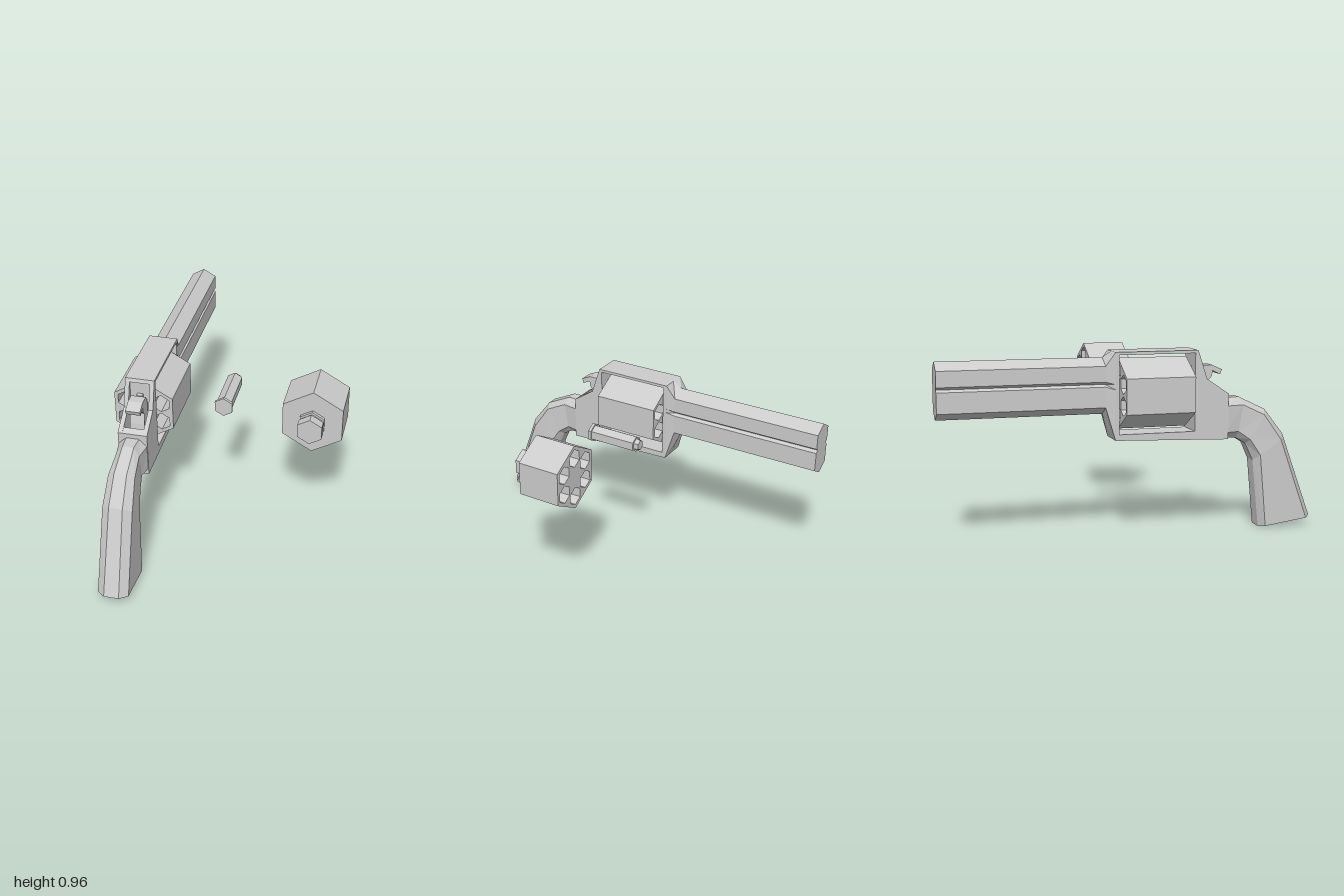
import * as THREE from 'three';

const mat = new THREE.MeshStandardMaterial({ color: 0xcccccc, flatShading: true, side: THREE.DoubleSide });
const AXIS_Y = 0.742;

function add(parent, name, geometry) {
  const mesh = new THREE.Mesh(geometry, mat);
  mesh.name = name;
  parent.add(mesh);
  return mesh;
}

// Side outline given as [z, y], extruded across x and centred on cx
function sideExtrude(outline, width, cx = 0, hole = null) {
  const shape = new THREE.Shape(outline.map(p => new THREE.Vector2(...p)));
  if (hole) shape.holes.push(new THREE.Path(hole.map(p => new THREE.Vector2(...p))));
  const g = new THREE.ExtrudeGeometry(shape, { depth: width, bevelEnabled: false });
  return g.translate(0, 0, -width / 2).rotateY(-Math.PI / 2).translate(cx, 0, 0);
}

// Closed skin over rings of equal point count, with fan caps, faces turned outward
function loft(rings) {
  const tris = [];
  const n = rings[0].length;
  for (let r = 0; r < rings.length - 1; r++) {
    for (let i = 0; i < n; i++) {
      const j = (i + 1) % n, a = rings[r], b = rings[r + 1];
      tris.push([a[i], a[j], b[j]], [a[i], b[j], b[i]]);
    }
  }
  const centre = ring => ring.reduce((s, p) => s.add(p), new THREE.Vector3()).divideScalar(n);
  const first = rings[0], last = rings[rings.length - 1];
  const c0 = centre(first), c1 = centre(last);
  for (let i = 0; i < n; i++) {
    const j = (i + 1) % n;
    tris.push([c0, first[j], first[i]], [c1, last[i], last[j]]);
  }
  let volume = 0;
  for (const [a, b, c] of tris) volume += a.dot(b.clone().cross(c));
  if (volume < 0) tris.forEach(t => t.reverse());
  const g = new THREE.BufferGeometry().setFromPoints(tris.flat());
  g.computeVertexNormals();
  return g;
}

// Half profile [x, y] from top to bottom, mirrored into a full ring at z
function mirroredRing(half, z) {
  const right = half.map(([x, y]) => new THREE.Vector3(x, y, z));
  const left = half.slice(1, -1).reverse().map(([x, y]) => new THREE.Vector3(-x, y, z));
  return [...right, ...left];
}

// Upright hexagonal prism along z
function hexPrism(radius, z0, z1, frontRadius = radius) {
  const g = new THREE.CylinderGeometry(frontRadius, radius, z1 - z0, 6);
  return g.rotateX(Math.PI / 2).translate(0, AXIS_Y, (z0 + z1) / 2);
}

function hexPoints(radius, cx, cy) {
  return Array.from({ length: 6 }, (_, i) => {
    const a = Math.PI / 6 + i * Math.PI / 3;
    return new THREE.Vector2(cx + radius * Math.cos(a), cy + radius * Math.sin(a));
  });
}

// Hexagonal drum with six hexagonal chambers
function drum(z0, z1) {
  const shape = new THREE.Shape(hexPoints(0.182, 0, 0));
  for (const p of hexPoints(0.11, 0, 0)) {
    shape.holes.push(new THREE.Path(hexPoints(0.05, p.x, p.y)));
  }
  return new THREE.ExtrudeGeometry(shape, { depth: z1 - z0, bevelEnabled: false }).translate(0, AXIS_Y, z0);
}

function buildFrame(parent) {
  const frame = new THREE.Group();
  frame.name = 'frame';
  parent.add(frame);
  const windowHole = [[-0.08, 0.54], [0.325, 0.54], [0.325, 0.945], [-0.08, 0.945]];
  const side = [[-0.1, 0.51], [0.51, 0.49], [0.51, 0.73], [0.39, 0.81], [0.34, 0.96], [-0.1, 0.96]];
  for (const s of [-1, 1]) add(frame, 'frameSide', sideExtrude(side, 0.024, s * 0.066, windowHole));
  // Core leaves a slot for the hammer at the rear
  const core = [[-0.1, 0.51], [0.51, 0.49], [0.51, 0.73], [0.48, 0.748], [0.46, 0.62], [0.341, 0.62],
    [0.341, 0.94], [0.347, 0.94], [0.34, 0.96], [-0.1, 0.96]];
  add(frame, 'frameCore', sideExtrude(core, 0.108, 0, windowHole));
}

function buildBarrel(parent) {
  const profile = [[0, 0.93], [0.07, 0.89], [0.07, 0.81], [0.052, 0.797], [0.07, 0.785], [0.07, 0.68], [0, 0.64]];
  const collar = [[0, 0.96], [0.078, 0.96], [0.078, 0.82], [0.078, 0.797], [0.078, 0.77], [0.078, 0.51], [0, 0.51]];
  add(parent, 'barrelCollar', loft([mirroredRing(collar, -0.1), mirroredRing(profile, -0.15)]));
  add(parent, 'barrel', loft([mirroredRing(profile, -0.15), mirroredRing(profile, -1)]));
}

function buildGrip(parent) {
  // Each section: back ridge, back side edge, front side edge, front ridge as [z, y], then half widths
  const sections = [
    [[0.50, 0.705], [0.50, 0.665], [0.50, 0.525], [0.50, 0.49], 0.077, 0.035],
    [[0.585, 0.705], [0.6, 0.665], [0.575, 0.525], [0.57, 0.488], 0.061, 0.03],
    [[0.73, 0.635], [0.715, 0.61], [0.64, 0.48], [0.625, 0.455], 0.07, 0.033],
    [[0.835, 0.5], [0.81, 0.475], [0.695, 0.395], [0.667, 0.365], 0.079, 0.036],
    [[1, 0.045], [0.965, 0.04], [0.73, 0.01], [0.705, 0.002], 0.082, 0.04],
  ];
  add(parent, 'grip', loft(sections.map(([b, bs, fs, f, w, h]) => [
    [h, b], [w, bs], [w, fs], [h, f], [-h, f], [-w, fs], [-w, bs], [-h, b],
  ].map(([x, [z, y]]) => new THREE.Vector3(x, y, z)))));
}

function buildHammer(parent) {
  const outline = [[0.355, 0.62], [0.44, 0.62], [0.425, 0.74], [0.41, 0.8], [0.43, 0.82], [0.433, 0.848],
    [0.475, 0.828], [0.485, 0.853], [0.43, 0.878], [0.375, 0.878], [0.355, 0.85]];
  add(parent, 'hammer', sideExtrude(outline, 0.078));
  add(parent, 'firingPin', new THREE.BoxGeometry(0.03, 0.025, 0.05).translate(0, 0.862, 0.34));
}

export function createModel() {
  const model = new THREE.Group();
  model.name = 'model';

  const body = new THREE.Group();
  body.name = 'assembledBody';
  body.position.x = -0.443;
  model.add(body);
  buildFrame(body);
  buildBarrel(body);
  buildGrip(body);
  buildHammer(body);
  add(body, 'drum', drum(-0.065, 0.3));

  // Loose cartridge
  const cartridge = new THREE.Group();
  cartridge.name = 'cartridge';
  cartridge.position.x = -0.042;
  model.add(cartridge);
  add(cartridge, 'cartridgeRim', hexPrism(0.054, 0.163, 0.18));
  add(cartridge, 'cartridgeCase', hexPrism(0.045, -0.1, 0.163));
  add(cartridge, 'cartridgeTip', hexPrism(0.028, -0.125, -0.1, 0.034));

  // Loose quick loader with a closed rear plate and knob
  const loader = new THREE.Group();
  loader.name = 'loader';
  loader.position.x = 0.44;
  model.add(loader);
  add(loader, 'loaderDrum', drum(-0.02, 0.205));
  add(loader, 'loaderPlate', hexPrism(0.182, 0.205, 0.215));
  add(loader, 'loaderCollar', hexPrism(0.073, 0.215, 0.233));
  add(loader, 'loaderNeck', hexPrism(0.06, 0.233, 0.256));
  add(loader, 'loaderKnob', hexPrism(0.073, 0.256, 0.307));

  return model;
}
